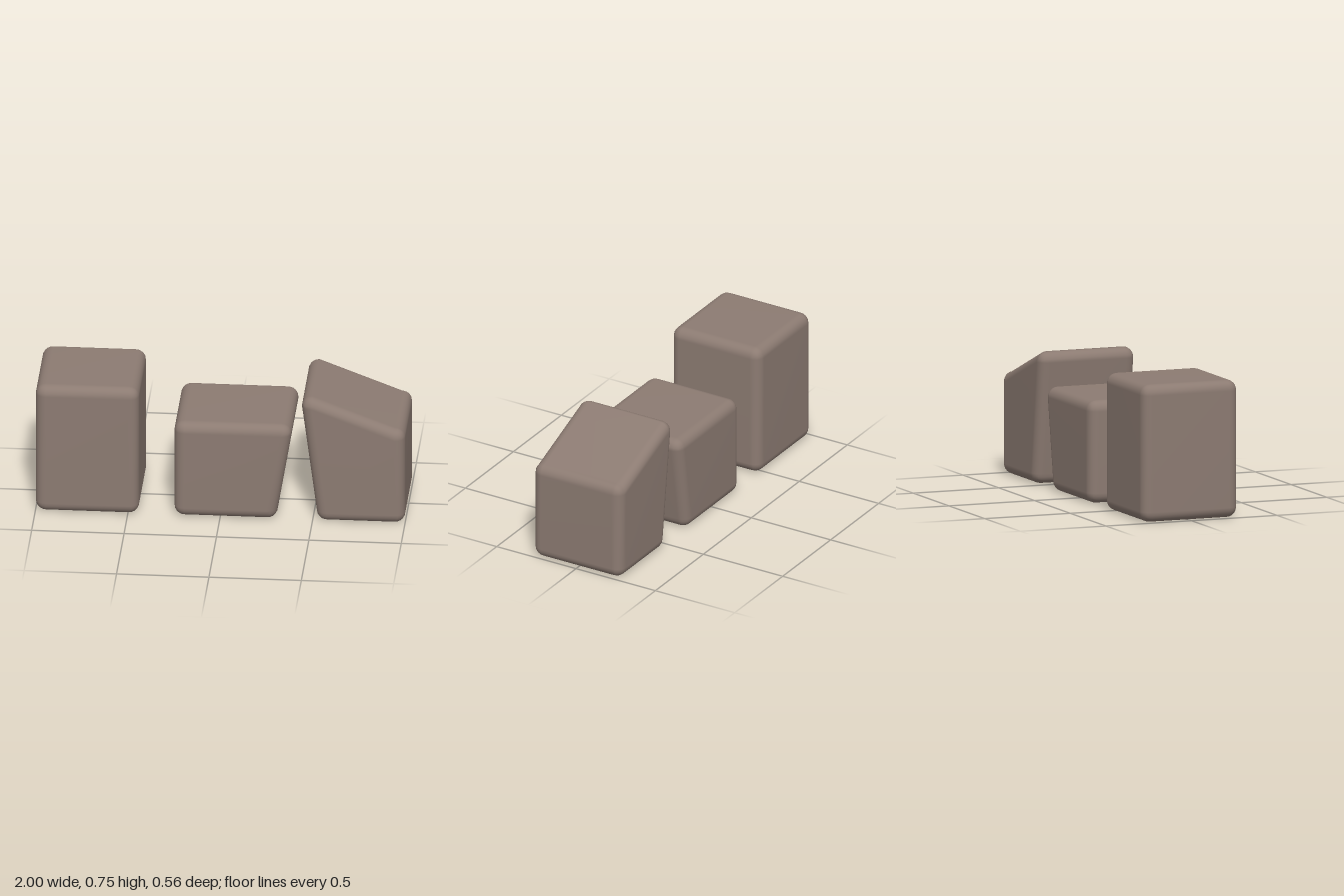
import * as THREE from 'three';
import { RoundedBoxGeometry } from 'three/addons/geometries/RoundedBoxGeometry.js';
import { mergeVertices } from 'three/addons/utils/BufferGeometryUtils.js';

const DEPTH = 0.56;
const RADIUS = 0.057;

// Rounded block whose four side profile corners are set one by one.
// Each corner keeps its round edge and is only shifted to its new place.
function block(name, { bottomLeft, bottomRight, topLeft, topRight }, material) {
  const geometry = new RoundedBoxGeometry(1, 1, DEPTH, 3, RADIUS);
  const p = geometry.attributes.position;
  for (let i = 0; i < p.count; i++) {
    const right = p.getX(i) > 0;
    const top = p.getY(i) > 0;
    const [x, y] = top ? (right ? topRight : topLeft) : (right ? bottomRight : bottomLeft);
    p.setX(i, p.getX(i) + x - (right ? 0.5 : -0.5));
    p.setY(i, p.getY(i) + y - (top ? 0.5 : -0.5));
  }
  // Share vertices so the rounded edges shade smoothly
  geometry.deleteAttribute('uv');
  geometry.deleteAttribute('normal');
  const smooth = mergeVertices(geometry);
  smooth.computeVertexNormals();
  const mesh = new THREE.Mesh(smooth, material);
  mesh.name = name;
  return mesh;
}

export function createModel() {
  const model = new THREE.Group();
  model.name = 'stoneBlocks';
  const stone = new THREE.MeshStandardMaterial({ color: 0x8c7b72 });

  model.add(
    // Tall straight block
    block('tallStone', {
      bottomLeft: [-1, 0], bottomRight: [-0.44, 0],
      topLeft: [-1, 0.75], topRight: [-0.44, 0.75],
    }, stone),
    // Low block with one side leaning out
    block('lowStone', {
      bottomLeft: [-0.25, 0], bottomRight: [0.31, 0],
      topLeft: [-0.25, 0.56], topRight: [0.385, 0.56],
    }, stone),
    // Block with a sloping top and a leaning side
    block('slopedStone', {
      bottomLeft: [0.52, 0], bottomRight: [1, 0],
      topLeft: [0.44, 0.73], topRight: [1, 0.56],
    }, stone),
  );
  return model;
}
